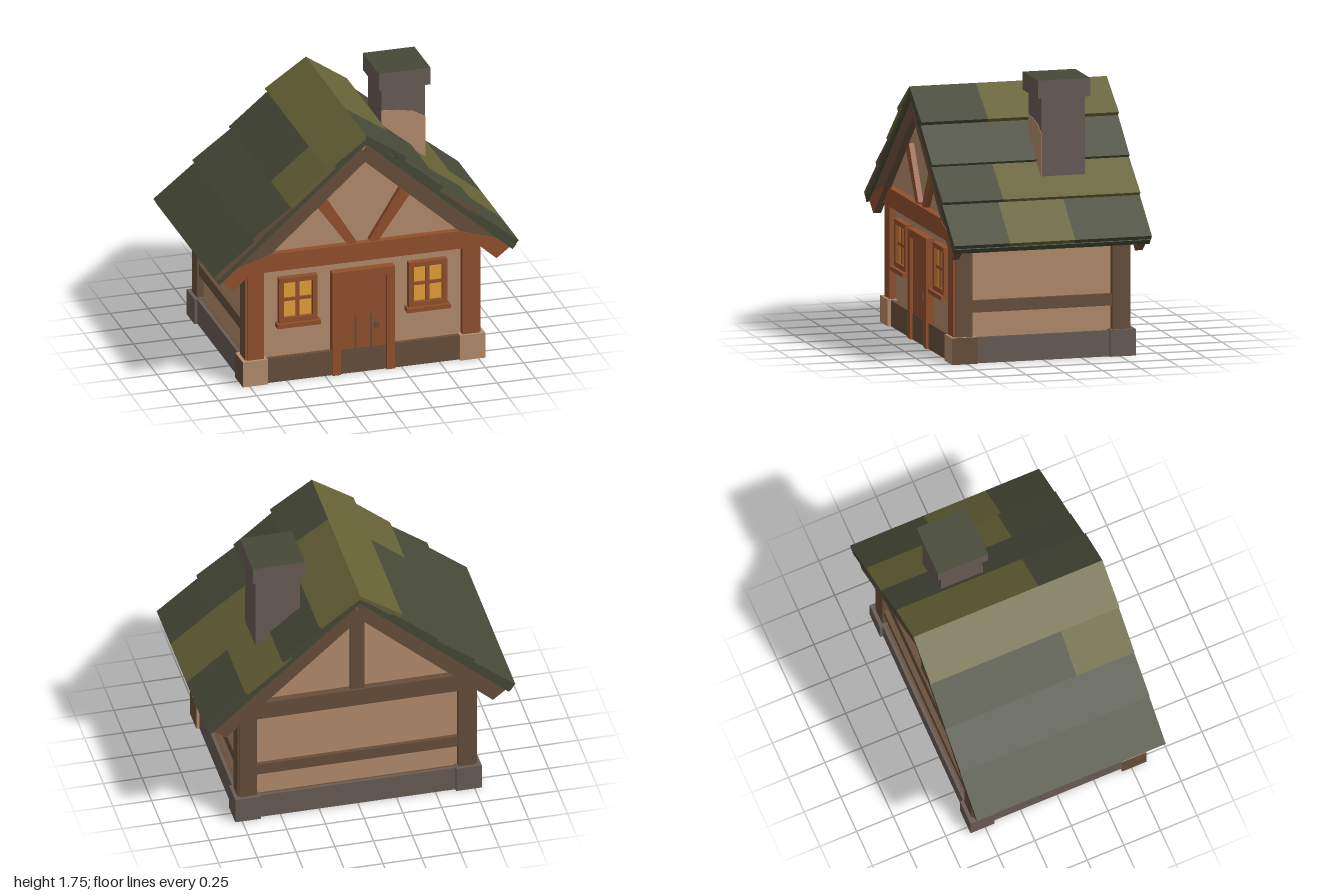
import * as THREE from 'three';

const mat = (name, color, side = THREE.FrontSide) => {
  const m = new THREE.MeshStandardMaterial({ color, side });
  m.name = name;
  return m;
};

export function createModel() {
  const plaster = mat('plaster', 0xb48c6b, THREE.DoubleSide);
  const rust = mat('rustWood', 0x92502c);
  const brown = mat('brownWood', 0x674f3b, THREE.DoubleSide);
  const stone = mat('stone', 0x695c55, THREE.DoubleSide);
  const moss = mat('darkRoof', 0x464936);
  const olive = mat('oliveRoof', 0x666236);
  const amber = mat('windowGlow', 0xe6a039);

  const house = new THREE.Group();
  house.name = 'cottage';

  // Box given by its min and max on each axis
  const box = (name, m, x0, x1, y0, y1, z0, z1) => {
    const mesh = new THREE.Mesh(new THREE.BoxGeometry(x1 - x0, y1 - y0, z1 - z0), m);
    mesh.position.set((x0 + x1) / 2, (y0 + y1) / 2, (z0 + z1) / 2);
    mesh.name = name;
    house.add(mesh);
    return mesh;
  };
  // Outline in x,y extruded from z0 to z1; side mirrors x
  const prism = (name, m, pts, z0, z1, side = 1) => {
    const shape = new THREE.Shape(pts.map(([x, y]) => new THREE.Vector2(x * side, y)));
    const geo = new THREE.ExtrudeGeometry(shape, { depth: z1 - z0, bevelEnabled: false });
    geo.translate(0, 0, z0);
    const mesh = new THREE.Mesh(geo, m);
    mesh.name = name;
    house.add(mesh);
  };
  const sideBox = (name, m, s, x0, x1, ...rest) =>
    s > 0 ? box(name, m, x0, x1, ...rest) : box(name, m, -x1, -x0, ...rest);
  // Removes the bottom face of a box
  const openBottom = ({ geometry }) => {
    const index = [...geometry.index.array];
    index.splice(18, 6);
    geometry.setIndex(index);
    geometry.groups.splice(3, 1);
    geometry.groups.forEach((g, i) => { g.start = i * 6; });
  };

  // Walls with gables, and the recessed floor underneath
  prism('walls', plaster, [[-0.728, 0.155], [0.728, 0.155], [0.728, 0.92], [0, 1.56], [-0.728, 0.92]], -0.54, 0.54);
  box('floor', brown, -0.755, 0.755, 0.145, 0.16, -0.56, 0.56);

  // Plinth, open below
  box('frontPlinth', [brown, brown, brown, brown, brown, rust], -0.64, 0.64, 0, 0.165, 0.56, 0.58);
  box('backPlinth', stone, -0.64, 0.64, 0, 0.165, -0.58, -0.56);

  for (const s of [-1, 1]) {
    sideBox('sidePlinth', stone, s, 0.755, 0.775, 0, 0.165, -0.45, 0.45);

    // Hollow corner stones; the front pair differs in colour by face
    const frontStone = s > 0
      ? [brown, plaster, plaster, plaster, plaster, plaster]
      : [plaster, brown, plaster, plaster, plaster, plaster];
    openBottom(sideBox('frontCornerStone', frontStone, s, 0.63, 0.795, 0, 0.17, 0.435, 0.6));
    openBottom(sideBox('backCornerStone', stone, s, 0.63, 0.795, 0, 0.17, -0.6, -0.435));

    // Corner posts with a slightly narrower board on the gable side
    sideBox('frontPost', [brown, brown, rust, rust, rust, brown], s, 0.66, 0.772, 0.165, 0.88, 0.46, 0.572);
    sideBox('frontPostBoard', rust, s, 0.65, 0.758, 0.165, 0.88, 0.53, 0.583);
    sideBox('backPost', brown, s, 0.66, 0.772, 0.165, 0.88, -0.565, -0.455);
    sideBox('backPostBoard', brown, s, 0.65, 0.758, 0.165, 0.88, -0.577, -0.53);
    sideBox('sideRail', brown, s, 0.71, 0.757, 0.32, 0.395, -0.46, 0.46);

    // Rafters on both gables with a notch at the peak, and rust faces on the front ends
    const rafter = [[0, 1.58], [0, 1.56], [0.024, 1.535], [0, 1.51], [0, 1.45], [0.86, 0.682], [0.955, 0.755]];
    prism('frontRafter', brown, rafter, 0.575, 0.622, s);
    prism('rafterEndFace', rust, [[0.88, 0.815], [0.955, 0.755], [0.86, 0.682], [0.62, 0.897]], 0.621, 0.626, s);
    prism('backRafter', brown, rafter, -0.625, -0.575, s);

    // Slanted brace in the front gable
    prism('gableBrace', rust, [[0.04, 0.89], [0.062, 0.87], [0.105, 0.885], [0.315, 1.18], [0.25, 1.23]], 0.53, 0.574, s);

    // Roof deck below the planks
    prism('roofDeck', moss, [[0, 1.625], [0.985, 0.768], [0.96, 0.738], [0, 1.58]], -0.642, 0.642, s);

    // Windows
    const w = 0.425 * s;
    box('windowPanes', amber, w - 0.1, w + 0.1, 0.42, 0.68, 0.549, 0.557);
    for (const d of [-1, 1]) {
      const c = w + d * 0.11;
      box('windowJamb', rust, c - 0.016, c + 0.016, 0.395, 0.7, 0.53, 0.582);
    }
    box('windowHead', rust, w - 0.126, w + 0.126, 0.67, 0.701, 0.53, 0.583);
    box('windowFoot', rust, w - 0.126, w + 0.126, 0.395, 0.43, 0.53, 0.583);
    box('windowMullion', rust, w - 0.012, w + 0.012, 0.42, 0.68, 0.53, 0.57);
    box('windowBar', rust, w - 0.1, w + 0.1, 0.54, 0.56, 0.53, 0.569);
    box('windowSill', rust, w - 0.142, w + 0.142, 0.37, 0.398, 0.53, 0.605);

    // Door jambs reach the ground
    sideBox('doorJamb', rust, s, 0.15, 0.205, 0, 0.702, 0.53, 0.595);
    sideBox('doorSlit', brown, s, 0.045, 0.056, 0.168, 0.39, 0.575, 0.581);
  }

  // Beams of the front and back
  box('frontBeam', rust, -0.775, 0.775, 0.76, 0.88, 0.53, 0.587);
  box('backBeam', brown, -0.775, 0.775, 0.76, 0.88, -0.587, -0.53);
  box('backRail', brown, -0.66, 0.66, 0.32, 0.395, -0.567, -0.53);
  box('backKingPost', brown, -0.045, 0.045, 0.87, 1.48, -0.574, -0.53);

  // Door
  box('door', rust, -0.155, 0.155, 0.165, 0.66, 0.53, 0.578);
  box('doorHead', rust, -0.155, 0.155, 0.65, 0.702, 0.53, 0.595);
  box('doorHandle', brown, 0.075, 0.103, 0.29, 0.335, 0.57, 0.592);

  // Overlapping plank rows: upper end, lower edge, then coloured runs along z
  // (a fourth entry colours the end grain)
  const E = 0.645;
  const rows = [
    { a: [0, 1.64], b: [0.27, 1.457], left: [[-E, E, olive]], right: [[-E, 0.21, olive], [0.21, E, moss]] },
    { a: [0.2, 1.478], b: [0.505, 1.226], left: [[-E, 0.25, moss], [0.25, E, olive]], right: [[-E, E, moss]] },
    { a: [0.44, 1.25], b: [0.745, 1.028], left: [[-E, 0, moss], [0, E, moss, brown]], right: [[-E, 0.25, olive], [0.25, E, moss, brown]] },
    { a: [0.69, 1.042], b: [1, 0.795], left: [[-E, 0, moss], [0, E, moss, brown]], right: [[-E, -0.145, moss], [-0.145, 0.28, olive], [0.28, E, moss]] },
  ];
  for (const { a, b, left, right } of rows) {
    const pts = [a, b, [b[0] - 0.022, b[1] - 0.027], [a[0], 1.615 - 0.87 * a[0]]];
    for (const [s, runs] of [[-1, left], [1, right]])
      for (const [z0, z1, m, grain = m] of runs) prism('roofPlank', [grain, m], pts, z0, z1, s);
  }

  // Chimney with a plaster patch low on its front
  box('chimneyShaft', stone, 0.31, 0.598, 1.08, 1.64, -0.325, -0.042);
  prism('chimneyPatch', plaster,
    [[0.31, 1.1], [0.598, 1.1], [0.598, 1.41], [0.52, 1.455], [0.42, 1.475], [0.31, 1.485]], -0.045, -0.039);
  box('chimneyCap', [stone, stone, moss, stone, stone, stone], 0.285, 0.623, 1.635, 1.75, -0.355, -0.012);

  return house;
}
